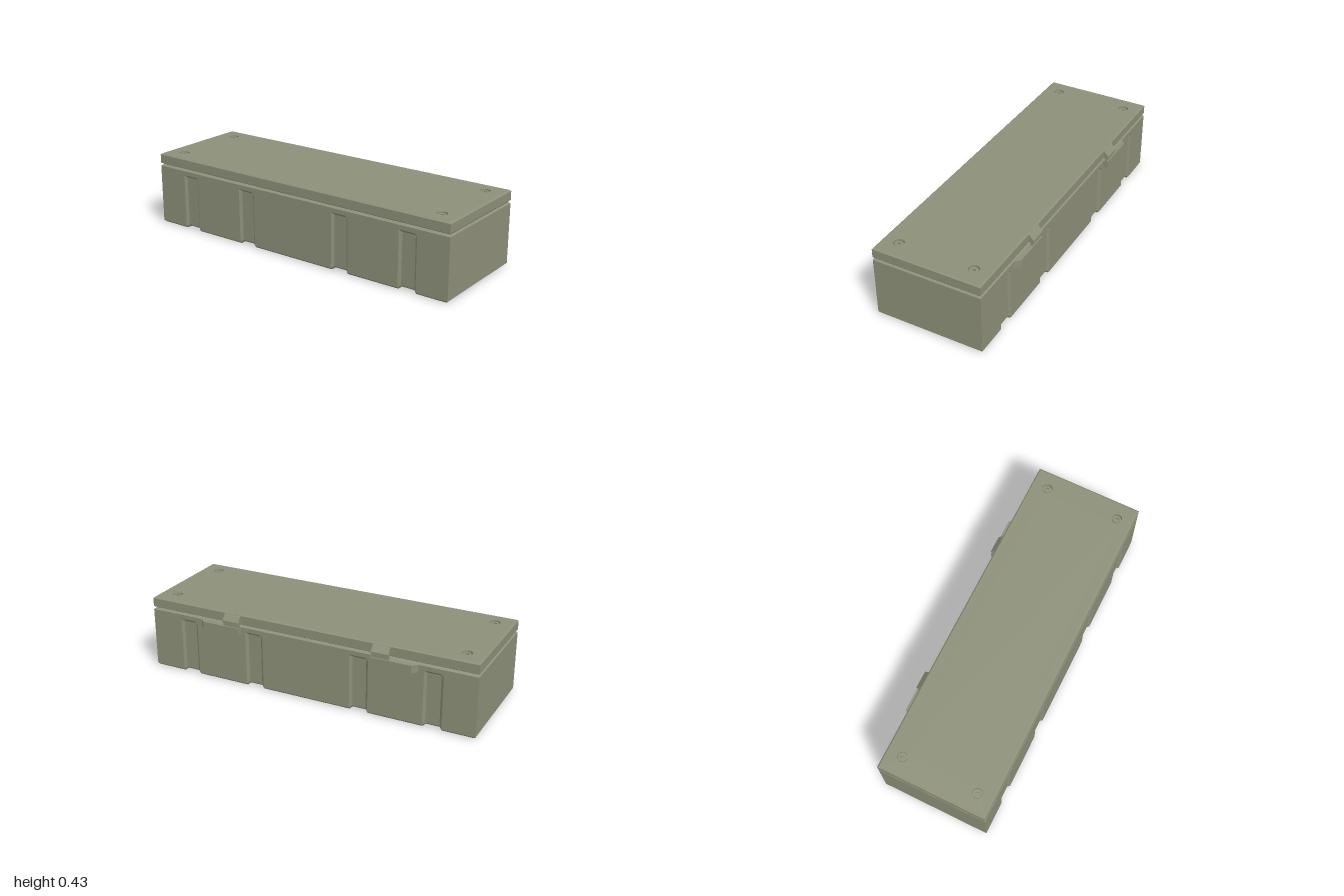
import * as THREE from 'three';

const CX = -0.014, HW = 0.319, END = 1; // case centre, half width, half length

// Mirrors a right-hand half profile (bottom to top) into a closed loop.
function mirrorProfile(half) {
  const right = half.map(([x, y]) => [CX + x, y]);
  const left = half.map(([x, y]) => [CX - x, y]).reverse();
  return [...right, ...left];
}

// Skins sections { z, pts } ordered by rising z; skipEdge leaves one strip open.
function loft(sections, skipEdge = -1) {
  const pos = [];
  const a = new THREE.Vector3(), b = new THREE.Vector3();
  const tri = (p, q, r) => {
    a.subVectors(q, p); b.subVectors(r, p);
    if (a.cross(b).length() > 1e-9) pos.push(...p.toArray(), ...q.toArray(), ...r.toArray());
  };
  const rings = sections.map(s => s.pts.map(([x, y]) => new THREE.Vector3(x, y, s.z)));
  const n = rings[0].length;
  for (let s = 0; s < rings.length - 1; s++) {
    const A = rings[s], B = rings[s + 1];
    for (let i = 0; i < n; i++) {
      const j = (i + 1) % n;
      if (i === skipEdge && s > 0 && s < rings.length - 2) continue;
      tri(A[i], A[j], B[j]);
      tri(A[i], B[j], B[i]);
    }
  }
  const first = rings[0], last = rings[rings.length - 1];
  for (let i = 1; i < n - 1; i++) {
    tri(first[0], first[i + 1], first[i]);
    tri(last[0], last[i], last[i + 1]);
  }
  const g = new THREE.BufferGeometry();
  g.setAttribute('position', new THREE.Float32BufferAttribute(pos, 3));
  g.computeVertexNormals();
  return g;
}

export function createModel() {
  const group = new THREE.Group();
  const mat = new THREE.MeshStandardMaterial({ color: 0x8c8f78, flatShading: true });
  const thin = mat.clone();
  thin.side = THREE.DoubleSide;
  const add = (name, geo, parent = group, m = mat) => {
    const mesh = new THREE.Mesh(geo, m);
    mesh.name = name;
    parent.add(mesh);
    return mesh;
  };

  // Lower case: chamfered box with shallow bands across the sides and bottom
  const plain = mirrorProfile([[HW - 0.011, 0], [HW, 0.011], [HW, 0.32], [HW, 0.333], [HW, 0.358], [HW - 0.015, 0.368]]);
  const banded = mirrorProfile([[HW - 0.023, 0.012], [HW - 0.012, 0.023], [HW - 0.012, 0.32], [HW, 0.333], [HW, 0.358], [HW - 0.015, 0.368]]);
  const bodyEnd = mirrorProfile([[HW, 0.011], [HW, 0.011], [HW, 0.32], [HW, 0.333], [HW, 0.358], [HW, 0.358]]);
  const half = [{ z: END, pts: bodyEnd }, { z: END - 0.012, pts: plain }];
  for (const [hi, lo] of [[0.81, 0.70], [0.38, 0.27]]) {
    half.push({ z: hi, pts: plain }, { z: hi - 0.015, pts: banded },
      { z: lo + 0.015, pts: banded }, { z: lo, pts: plain });
  }
  const back = half.map(s => ({ z: -s.z, pts: s.pts }));
  add('lowerCase', loft([...back, ...half.reverse()]));

  // Lid: chamfered slab, its top panel pierced for the screws
  const IN = 0.008, TOP = 0.434;
  const lidMid = mirrorProfile([[HW - 0.015, 0.368], [HW, 0.377], [HW, 0.427], [HW - IN, TOP]]);
  const lidEnd = mirrorProfile([[HW, 0.377], [HW, 0.377], [HW, 0.427], [HW, 0.427]]);
  const lid = new THREE.Group();
  lid.name = 'lid';
  group.add(lid);
  const zIn = END - IN;
  add('lidShell', loft([
    { z: -END, pts: lidEnd }, { z: -zIn, pts: lidMid },
    { z: zIn, pts: lidMid }, { z: END, pts: lidEnd }], 3), lid);

  const panel = new THREE.Shape();
  panel.moveTo(CX - HW + IN, -zIn);
  panel.lineTo(CX + HW - IN, -zIn);
  panel.lineTo(CX + HW - IN, zIn);
  panel.lineTo(CX - HW + IN, zIn);
  panel.closePath();
  const R = 0.03, DEPTH = 0.02;
  const spots = [];
  for (const x of [-0.238, 0.207]) for (const z of [-0.895, 0.895]) spots.push([x, z]);
  for (const [x, z] of spots) {
    panel.holes.push(new THREE.Path().absarc(x, -z, R, 0, Math.PI * 2, true));
  }
  add('lidTop', new THREE.ShapeGeometry(panel, 12).rotateX(-Math.PI / 2).translate(0, TOP, 0), lid);

  // Recessed socket screws
  const head = new THREE.Shape().absarc(0, 0, 0.023, 0, Math.PI * 2, false);
  const hex = new THREE.Path();
  for (let i = 0; i < 6; i++) {
    const t = -i * Math.PI / 3;
    hex[i ? 'lineTo' : 'moveTo'](0.012 * Math.cos(t), 0.012 * Math.sin(t));
  }
  hex.closePath();
  head.holes.push(hex);
  for (const [x, z] of spots) {
    const screw = new THREE.Group();
    screw.name = 'screw';
    screw.position.set(x, TOP - DEPTH, z);
    lid.add(screw);
    add('recessWall', new THREE.CylinderGeometry(R, R, DEPTH, 24, 1, true).translate(0, DEPTH / 2, 0), screw, thin);
    add('recessFloor', new THREE.CircleGeometry(R, 24).rotateX(-Math.PI / 2), screw);
    add('screwHead', new THREE.ExtrudeGeometry(head, { depth: 0.014, bevelEnabled: false, curveSegments: 12 })
      .rotateX(-Math.PI / 2), screw);
  }

  // Latches on the left side: sloped lid tab, pin, and keeper with a chamfered end
  const face = CX + HW, OUT = 0.333;
  const tab = new THREE.Shape([[face - 0.007, TOP], [face - 0.02, TOP - 0.002], [face - 0.02, 0.377],
    [OUT, 0.377], [OUT, 0.392]].map(p => new THREE.Vector2(...p)));
  for (const s of [1, -1]) {
    const latch = new THREE.Group();
    latch.name = s > 0 ? 'frontLatch' : 'backLatch';
    group.add(latch);
    add('lidTab', new THREE.ExtrudeGeometry(tab, { depth: 0.1, bevelEnabled: false })
      .translate(0, 0, s * 0.458 - 0.05), latch);
    add('latchPin', new THREE.BoxGeometry(0.012, 0.03, 0.1).translate(0.319, 0.367, s * 0.458), latch);
    const keeper = new THREE.Shape([[face - 0.005, 0.408], [OUT, 0.408], [OUT, 0.64], [face, 0.668],
      [face - 0.005, 0.668]].map(([x, z]) => new THREE.Vector2(x, -s * z)));
    add('keeper', new THREE.ExtrudeGeometry(keeper, { depth: 0.043, bevelEnabled: false })
      .rotateX(-Math.PI / 2).translate(0, 0.315, 0), latch);
  }
  return group;
}
